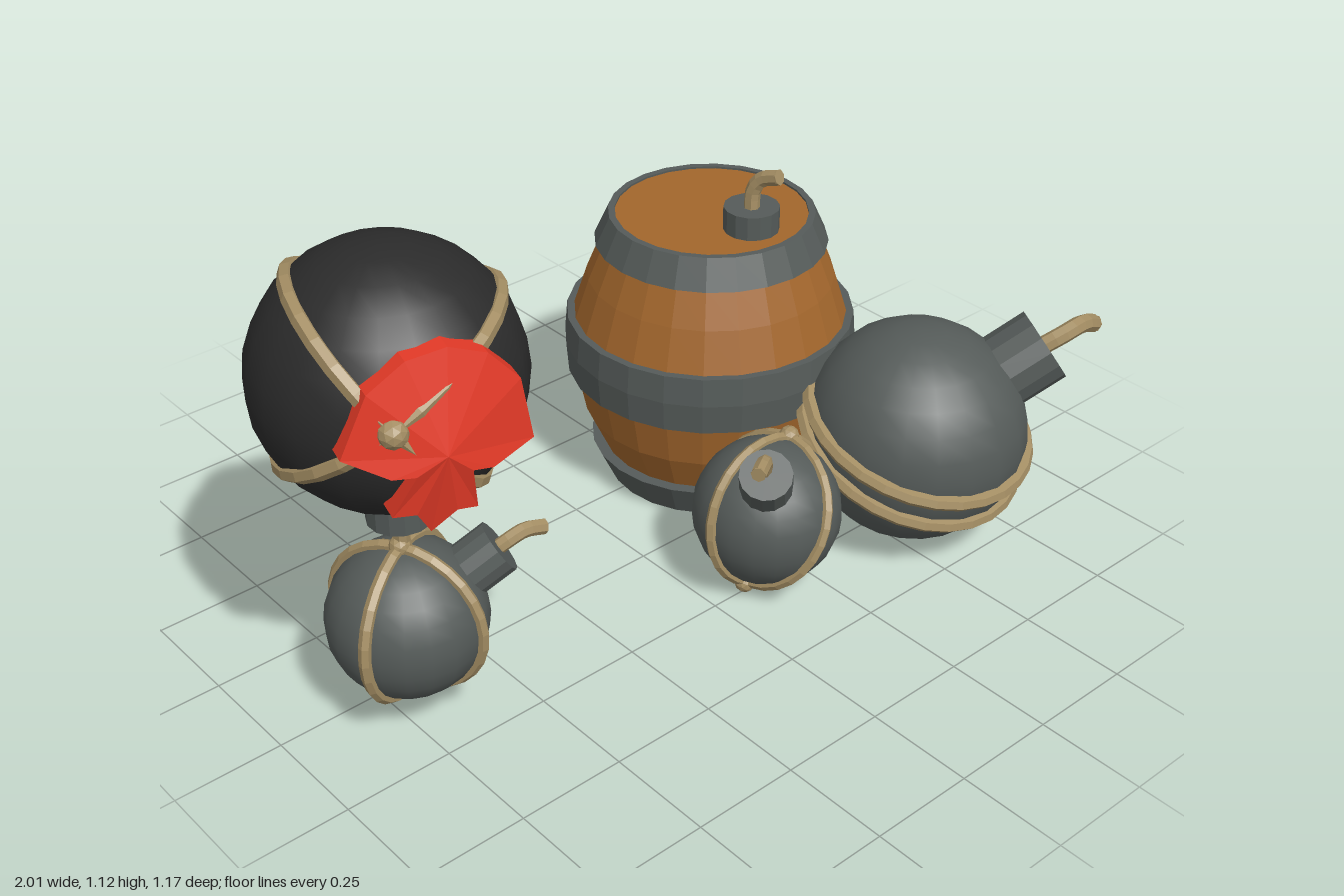
import * as THREE from 'three';

const V = (x, y, z) => new THREE.Vector3(x, y, z);

const mat = (name, color) => {
  const m = new THREE.MeshStandardMaterial({ color });
  m.name = name;
  return m;
};

// Hard facets without touching the material
function faceted(geo) {
  const g = geo.index ? geo.toNonIndexed() : geo;
  g.computeVertexNormals();
  return g;
}

// Jagged mask outline, right half from top to bottom
const HALF = [[0, 0.2], [0.08, 0.18], [0.15, 0.12], [0.19, -0.01], [0.1, -0.045], [0.055, -0.04],
  [0.085, -0.14], [0.04, -0.135], [0, -0.19]];

// Plate with bowed front: fans around the centre, plus side walls
function emblemGeometry() {
  const outline = [...HALF, ...HALF.slice(1, -1).reverse().map(([x, y]) => [-x, y])].reverse();
  const bow = ([x, y], z) => [x, y, z - 1.3 * (x * x + y * y)];
  const thick = 0.05;
  const pos = [];
  outline.forEach((a, i) => {
    const b = outline[(i + 1) % outline.length];
    const a1 = bow(a, 0), b1 = bow(b, 0), a0 = bow(a, -thick), b0 = bow(b, -thick);
    pos.push(0, 0, 0, ...a1, ...b1);
    pos.push(0, 0, -thick, ...b0, ...a0);
    pos.push(...a0, ...b0, ...b1, ...a0, ...b1, ...a1);
  });
  const g = new THREE.BufferGeometry();
  g.setAttribute('position', new THREE.Float32BufferAttribute(pos, 3));
  g.computeVertexNormals();
  return g;
}

export function createModel() {
  const model = new THREE.Group();
  model.name = 'bombsAndBarrel';
  const iron = mat('iron grey', 0x555b59);
  const black = mat('black shell', 0x2b2b2b);
  const rope = mat('rope tan', 0xa38d63);
  const wood = mat('barrel wood', 0xa2662c);
  const red = mat('red emblem', 0xe43a27);

  const add = (parent, name, geo, material, at = V(0, 0, 0)) => {
    const m = new THREE.Mesh(geo, material);
    m.name = name;
    m.position.copy(at);
    parent.add(m);
    return m;
  };
  const group = (name) => {
    const g = new THREE.Group();
    g.name = name;
    model.add(g);
    return g;
  };

  const ball = (g, c, r, material) =>
    add(g, 'ballShell', new THREE.SphereGeometry(r, 20, 14), material, c);

  // Rope ring around a ball, in the plane with the given normal
  const loop = (g, c, r, normal, t, offset = 0) => {
    const n = normal.clone().normalize();
    const ring = Math.sqrt(r * r - offset * offset);
    const m = add(g, 'ropeLoop', faceted(new THREE.TorusGeometry(ring, t, 6, 28)), rope,
      c.clone().addScaledVector(n, offset));
    m.quaternion.setFromUnitVectors(V(0, 0, 1), n);
  };

  // Two crossing loops with a knot at each crossing
  const crossLoops = (g, c, r, axis, dirs, t) => {
    const k = axis.clone().normalize();
    dirs.forEach((d) => loop(g, c, r, k.clone().cross(d), t));
    [1, -1].forEach((s) => add(g, 'ropeKnot', faceted(new THREE.IcosahedronGeometry(t * 1.7, 1)), rope,
      c.clone().addScaledVector(k, s * (r + t * 0.4))));
  };

  const cap = (g, at, dir, r, len) => {
    const m = add(g, 'fuseCap', faceted(new THREE.CylinderGeometry(r, r, len, 14)), iron, at);
    m.quaternion.setFromUnitVectors(V(0, 1, 0), dir.clone().normalize());
  };

  // Curved fuse with a closed tip
  const fuse = (g, pts, r) => {
    const curve = new THREE.CatmullRomCurve3(pts);
    add(g, 'fuse', faceted(new THREE.TubeGeometry(curve, 8, r, 7)), rope);
    const tip = add(g, 'fuseTip', faceted(new THREE.CylinderGeometry(r, r, 0.004, 7)), rope, curve.getPoint(1));
    tip.quaternion.setFromUnitVectors(V(0, 1, 0), curve.getTangent(1));
  };

  const emblem = (g, at, yaw, roll) => {
    const m = add(g, 'emblem', emblemGeometry(), red, at);
    m.rotation.set(0, yaw, roll);
  };

  // Barrel
  const barrel = group('barrel');
  const base = V(0.4, 0, -0.215);
  const lathe = (name, profile, material) => add(barrel, name,
    faceted(new THREE.LatheGeometry(profile.map(([x, y]) => new THREE.Vector2(x, y)), 24)), material, base);
  lathe('barrelStaves', [[0, 0.004], [0.24, 0.004], [0.262, 0.085], [0.306, 0.18], [0.33, 0.295], [0.33, 0.44],
    [0.298, 0.54], [0.262, 0.63], [0.236, 0.697], [0, 0.697]], wood);
  lathe('bottomHoop', [[0.23, 0], [0.25, 0], [0.29, 0.085], [0.25, 0.085]], iron);
  lathe('middleHoop', [[0.32, 0.295], [0.348, 0.295], [0.354, 0.37], [0.348, 0.44], [0.32, 0.44]], iron);
  lathe('topHoop', [[0.25, 0.63], [0.279, 0.63], [0.246, 0.702], [0.23, 0.702], [0.23, 0.69]], iron);
  cap(barrel, V(0.41, 0.72, -0.09), V(0, 1, 0), 0.066, 0.07);
  fuse(barrel, [V(0.405, 0.74, -0.085), V(0.41, 0.8, -0.085), V(0.42, 0.83, -0.065), V(0.43, 0.845, -0.025)], 0.019);
  const out = V(0.72, 0, -0.69);
  emblem(barrel, base.clone().addScaledVector(out, 0.387).setY(0.34), Math.atan2(out.x, out.z), 0);

  // Large grey bomb in front of the barrel
  const large = group('largeBomb');
  const lc = V(0.58, 0.268, 0.305);
  ball(large, lc, 0.265, iron);
  loop(large, lc, 0.268, V(0.04, 0.948, 0.317), 0.018, 0.03);
  loop(large, lc, 0.268, V(0.04, 0.92, 0.39), 0.018, -0.03);
  const ld = V(0.72, 0.54, 0.43);
  cap(large, lc.clone().addScaledVector(ld, 0.3), ld, 0.09, 0.12);
  fuse(large, [V(0.82, 0.45, 0.45), V(0.88, 0.485, 0.483), V(0.94, 0.49, 0.485), V(0.998, 0.465, 0.475)], 0.022);

  // Small grey bomb beside it
  const small = group('smallBomb');
  const sc = V(0.165, 0.188, 0.24);
  ball(small, sc, 0.172, iron);
  crossLoops(small, sc, 0.172, V(0.45, 0.88, -0.1), [V(0, 0, 1), V(1, 0, 0)], 0.014);
  const sd = V(-0.43, 0.8, 0.4);
  cap(small, sc.clone().addScaledVector(sd, 0.195), sd, 0.06, 0.08);
  fuse(small, [V(0.07, 0.37, 0.32), V(0.055, 0.415, 0.34), V(0.03, 0.435, 0.36), V(-0.01, 0.437, 0.385)], 0.017);

  // Black bomb with emblem
  const dark = group('blackBomb');
  const bc = V(-0.72, 0.84, 0.08);
  ball(dark, bc, 0.277, black);
  crossLoops(dark, bc, 0.273, V(0.53, -0.13, -0.84), [V(0.23, 0.15, 0.06), V(0.18, -0.21, 0.03)], 0.018);
  cap(dark, V(-0.72, 0.54, 0.085), V(0, 1, 0), 0.07, 0.08);
  emblem(dark, V(-0.79, 0.82, 0.372), -0.27, -0.14);

  // Hanging bomb tethered below it
  const hanging = group('hangingBomb');
  const hc = V(-0.72, 0.25, 0.085);
  add(hanging, 'tether', faceted(new THREE.CylinderGeometry(0.018, 0.018, 0.1, 7)), rope, V(-0.72, 0.475, 0.085));
  ball(hanging, hc, 0.173, iron);
  crossLoops(hanging, hc, 0.175, V(-0.03, 1, 0), [V(0.44, 0, 0.9), V(-0.9, 0, 0.44)], 0.014);
  const hd = V(0.77, 0.55, 0.33);
  cap(hanging, hc.clone().addScaledVector(hd, 0.2), hd, 0.06, 0.08);
  fuse(hanging, [V(-0.56, 0.365, 0.155), V(-0.52, 0.395, 0.175), V(-0.48, 0.405, 0.18), V(-0.435, 0.395, 0.185)], 0.017);

  return model;
}
